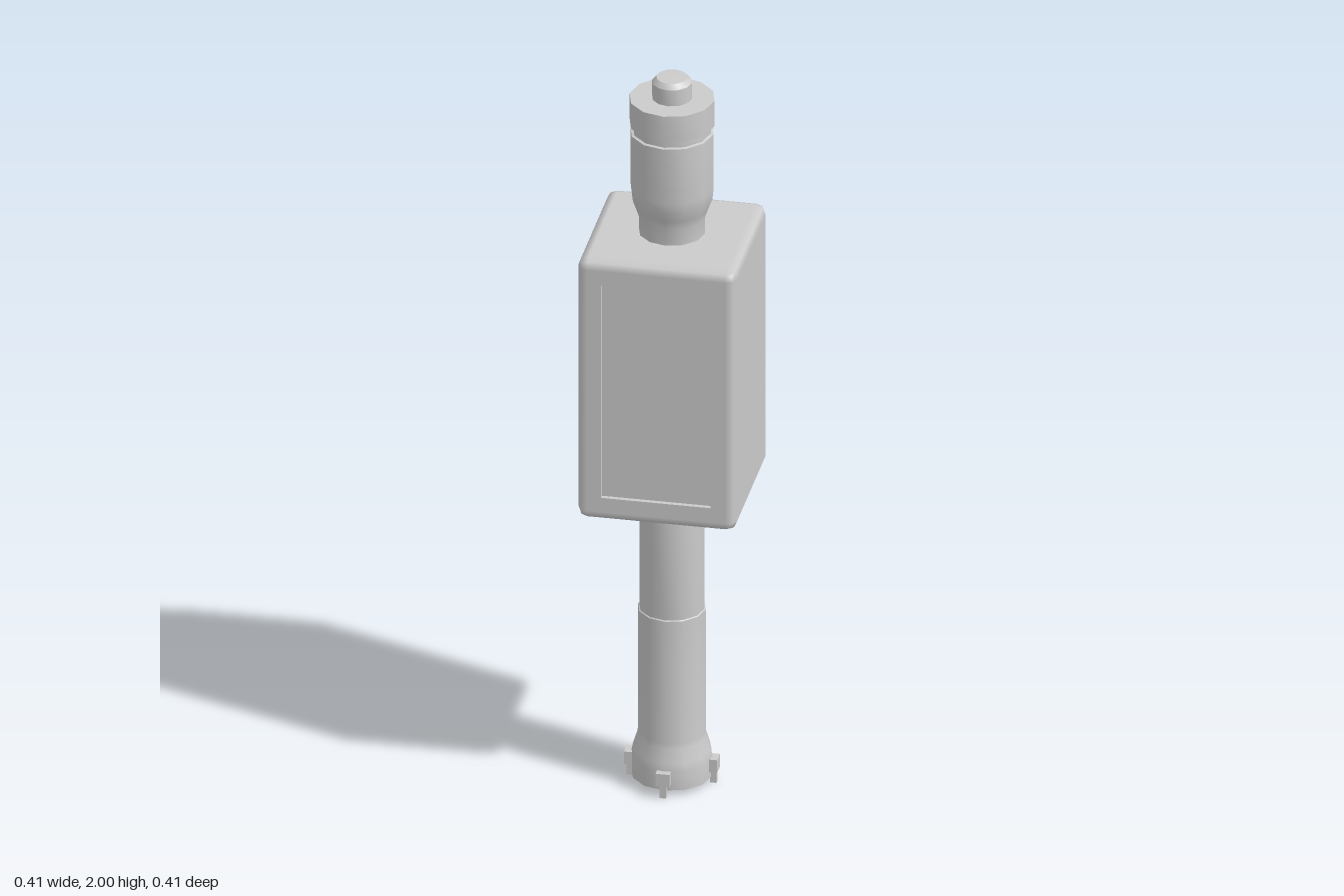
import * as THREE from 'three';
import { toCreasedNormals } from 'three/addons/utils/BufferGeometryUtils.js';
import { RoundedBoxGeometry } from 'three/addons/geometries/RoundedBoxGeometry.js';

const grey = new THREE.MeshStandardMaterial({ color: 0xcccccc });

function add(parent, name, geometry, x = 0, y = 0, z = 0) {
  const mesh = new THREE.Mesh(geometry, grey);
  mesh.name = name;
  mesh.position.set(x, y, z);
  parent.add(mesh);
  return mesh;
}

// Twelve-sided turned part from [radius, height] pairs, bottom to top
function turned(profile) {
  const points = profile.map(([r, y]) => new THREE.Vector2(r, y));
  return toCreasedNormals(new THREE.LatheGeometry(points, 12), 0.65);
}

function rectangle(target, w, h) {
  target.moveTo(-w, -h);
  target.lineTo(w, -h);
  target.lineTo(w, h);
  target.lineTo(-w, h);
  target.closePath();
  return target;
}

// Chamfered box with its flat front face taken out
function openBox(w, h, bevel) {
  const box = new RoundedBoxGeometry(w, h, w, 1, bevel);
  const solid = box.index ? box.toNonIndexed() : box;
  const p = solid.attributes.position, n = solid.attributes.normal;
  const positions = [], normals = [];
  for (let i = 0; i < p.count; i += 3) {
    if ([0, 1, 2].every((k) => p.getZ(i + k) > w / 2 - 1e-4)) continue;
    for (let k = i; k < i + 3; k++) {
      positions.push(p.getX(k), p.getY(k), p.getZ(k));
      normals.push(n.getX(k), n.getY(k), n.getZ(k));
    }
  }
  const geometry = new THREE.BufferGeometry();
  geometry.setAttribute('position', new THREE.Float32BufferAttribute(positions, 3));
  geometry.setAttribute('normal', new THREE.Float32BufferAttribute(normals, 3));
  return geometry;
}

export function createModel() {
  const model = new THREE.Group();
  model.name = 'device';

  // Housing with a framed, recessed front panel
  const W = 0.41, H = 0.74, BEVEL = 0.027, DEPTH = 0.012;
  const PW = 0.141, PH = 0.302;
  const housing = new THREE.Group();
  housing.name = 'housing';
  housing.position.y = 1.19;
  model.add(housing);
  add(housing, 'housingShell', openBox(W, H, BEVEL));

  const frame = rectangle(new THREE.Shape(), W / 2 - BEVEL, H / 2 - BEVEL);
  frame.holes.push(rectangle(new THREE.Path(), PW, PH));
  add(housing, 'frontFrame', new THREE.ShapeGeometry(frame), 0, 0, W / 2);
  add(housing, 'frontPanel', new THREE.PlaneGeometry(PW * 2, PH * 2), 0, 0, W / 2 - DEPTH);
  for (const s of [-1, 1]) {
    const side = add(housing, 'panelSideWall', new THREE.PlaneGeometry(DEPTH, PH * 2), s * PW, 0, (W - DEPTH) / 2);
    side.rotation.y = -s * Math.PI / 2;
    const end = add(housing, 'panelEndWall', new THREE.PlaneGeometry(PW * 2, DEPTH), 0, s * PH, (W - DEPTH) / 2);
    end.rotation.x = s * Math.PI / 2;
  }

  // Upper neck, groove, cap and button
  add(model, 'upperBarrel', turned([
    [0.085, 1.55], [0.085, 1.605], [0.093, 1.63], [0.104, 1.66], [0.107, 1.69],
    [0.107, 1.845], [0.1, 1.847], [0.1, 1.865], [0.109, 1.868],
    [0.109, 1.94], [0, 1.94],
  ]));
  add(model, 'topButton', turned([
    [0.051, 1.935], [0.051, 1.985], [0.04, 1.998], [0, 2],
  ]));

  // Collar under the housing and the two-part handle
  add(model, 'collar', turned([[0.083, 0.802], [0.11, 0.809], [0.13, 0.822]]));
  add(model, 'upperHandle', turned([[0.084, 0.48], [0.084, 0.825]]));
  add(model, 'lowerHandle', turned([
    [0, 0.016], [0.104, 0.016], [0.104, 0.07], [0.1, 0.09], [0.089, 0.125],
    [0.087, 0.14], [0.087, 0.488], [0.084, 0.49],
  ]));

  // Four clips around the foot, each with a downward pin
  for (let i = 0; i < 4; i++) {
    const clip = new THREE.Group();
    clip.name = 'footClip';
    clip.rotation.y = i * Math.PI / 2;
    add(clip, 'clipBlock', new THREE.BoxGeometry(0.036, 0.036, 0.026), 0, 0.052, 0.107);
    add(clip, 'clipPin', new THREE.BoxGeometry(0.016, 0.066, 0.016), 0, 0.033, 0.108);
    model.add(clip);
  }

  return model;
}
